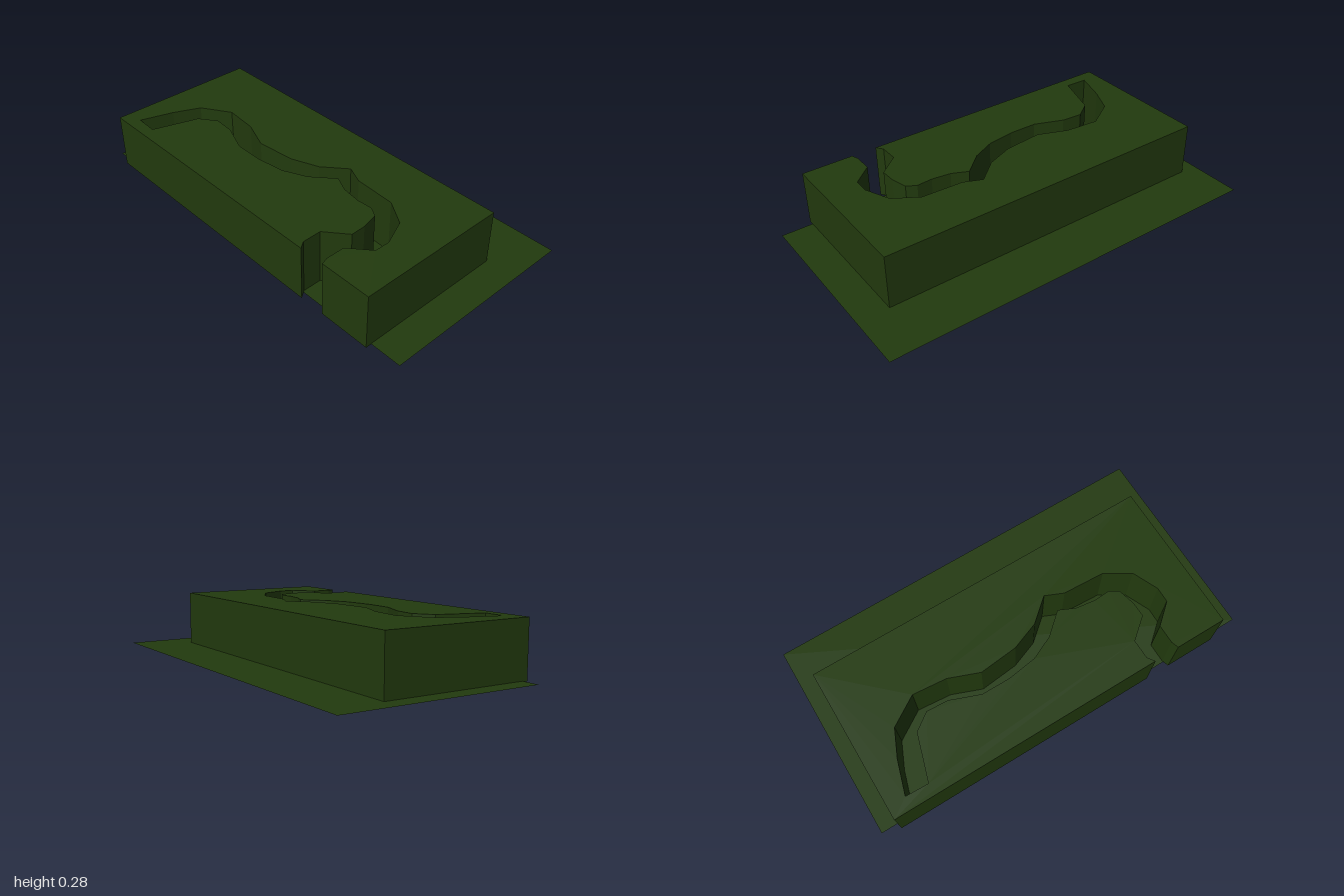
import * as THREE from 'three';

export function createModel() {
  const model = new THREE.Group();
  const green = new THREE.MeshStandardMaterial({ color: 0x223a0e, side: THREE.DoubleSide });
  green.name = 'dark green';

  // The two banks of the winding channel, as [x, z] from its open mouth inward
  const innerBank = [
    [-0.52, 0.458], [-0.485, 0.433], [-0.39, 0.432], [-0.305, 0.535], [-0.23, 0.533],
    [-0.145, 0.512], [-0.118, 0.465], [-0.123, 0.385], [-0.11, 0.29], [-0.073, 0.21],
    [-0.165, 0.105], [-0.218, -0.01], [-0.239, -0.155], [-0.238, -0.3], [-0.182, -0.445],
    [-0.175, -0.553], [-0.235, -0.637], [-0.461, -0.707],
  ];
  const outerBank = [
    [-0.52, 0.585], [-0.485, 0.573], [-0.39, 0.573], [-0.305, 0.672], [-0.23, 0.673],
    [-0.103, 0.617], [-0.028, 0.495], [-0.018, 0.285], [0.021, 0.195], [-0.075, 0.083],
    [-0.128, -0.055], [-0.148, -0.25], [-0.09, -0.4], [-0.075, -0.57], [-0.165, -0.712],
    [-0.295, -0.77], [-0.457, -0.82],
  ];

  // Block outline: outer rectangle, cut by the channel on its -x side
  const outline = [
    [-0.52, 0.843], [0.245, 0.843], [0.245, -0.91], [-0.52, -0.91],
    ...innerBank, ...outerBank.reverse(),
  ];
  const shape = new THREE.Shape(outline.map(([x, z]) => new THREE.Vector2(x, -z)));
  const blockGeometry = new THREE.ExtrudeGeometry(shape, { depth: 0.277, bevelEnabled: false });
  blockGeometry.rotateX(-Math.PI / 2);
  const block = new THREE.Mesh(blockGeometry, green);
  block.name = 'channelledBlock';
  model.add(block);

  // Thin ground sheet, just above the underside of the block
  const ground = new THREE.Mesh(new THREE.PlaneGeometry(1.013, 2).rotateX(-Math.PI / 2), green);
  ground.position.set(0.0135, 0.003, 0);
  ground.name = 'groundSheet';
  model.add(ground);

  return model;
}
